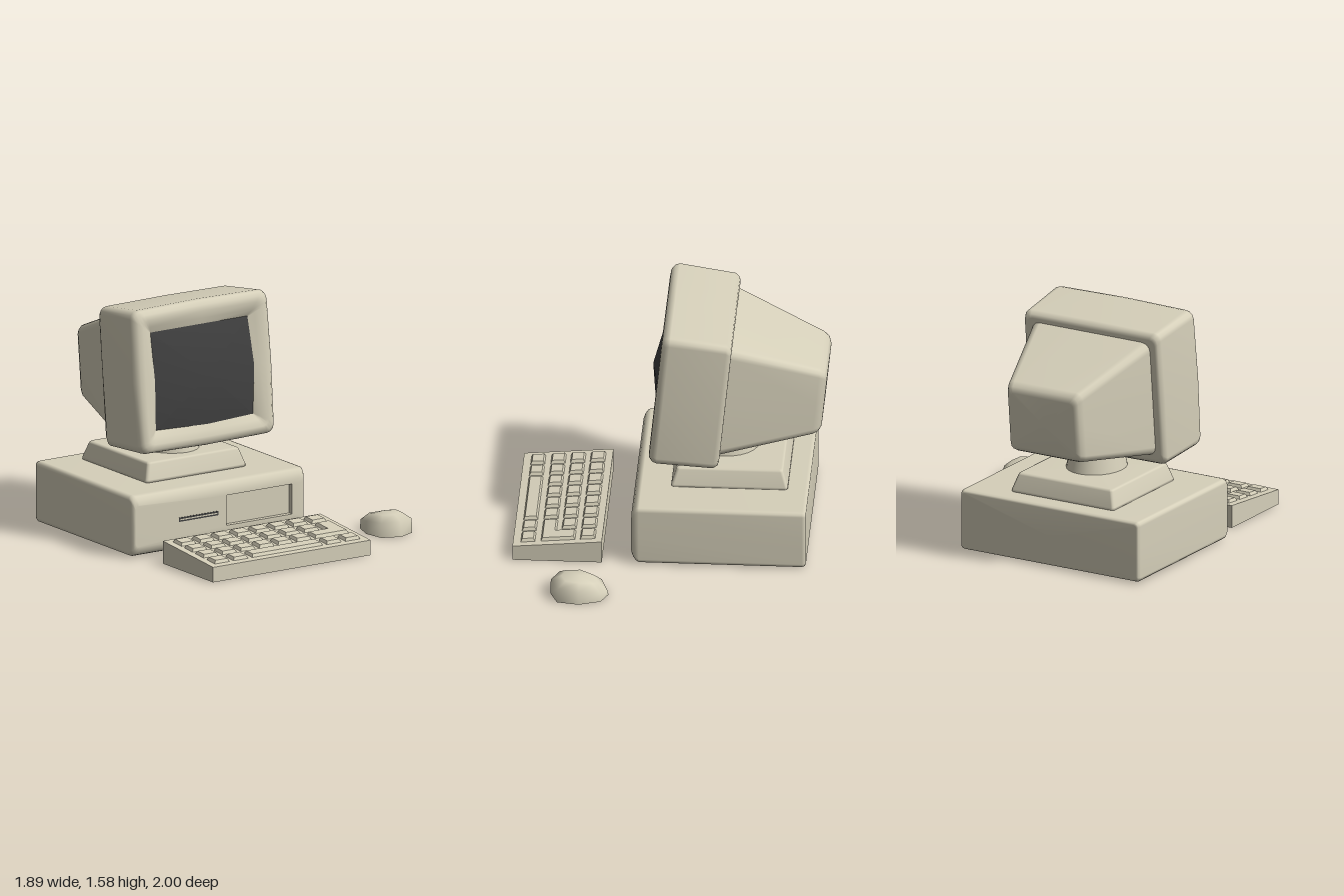
import * as THREE from 'three';

const beige = new THREE.MeshStandardMaterial({ color: 0xd6d0ba });
beige.name = 'beige plastic';
beige.side = THREE.DoubleSide;
const dark = new THREE.MeshStandardMaterial({ color: 0x404040 });
dark.name = 'dark glass';

// Rounded rectangle ring in the xy plane, counter-clockwise, with a middle point
// on each side that may bow outwards (bow) and forwards (lift).
function ring(w, h, r, z, cx = 0, cy = 0, bow = 0, lift = 0) {
  const pts = [];
  for (let q = 0; q < 4; q++) {
    const a0 = q * Math.PI / 2;
    const dx = Math.round(Math.cos(a0)), dy = Math.round(Math.sin(a0));
    pts.push([cx + dx * (w / 2 + bow), cy + dy * (h / 2 + bow), z + lift]);
    const sx = q === 0 || q === 3 ? 1 : -1, sy = q < 2 ? 1 : -1;
    const steps = r > 0 ? 3 : 0;
    for (let i = 0; i <= steps; i++) {
      const a = a0 + (steps ? i / steps : 0) * Math.PI / 2;
      pts.push([
        cx + sx * (w / 2 - r) + r * Math.cos(a),
        cy + sy * (h / 2 - r) + r * Math.sin(a), z]);
    }
  }
  return pts;
}

// Skin over rings; start and end are optional heights for the cap centres.
// Repeating a ring leaves a sharp edge there.
function loft(rings, start, end) {
  const n = rings[0].length, pos = rings.flat(2), idx = [];
  for (let i = 0; i < rings.length - 1; i++) {
    for (let j = 0; j < n; j++) {
      const a = i * n + j, b = i * n + (j + 1) % n;
      idx.push(a, b, b + n, a, b + n, a + n);
    }
  }
  const cap = (first, z, flip) => {
    const r = rings[first], c = pos.length / 3;
    const mean = k => r.reduce((s, p) => s + p[k], 0) / n;
    pos.push(mean(0), mean(1), z);
    for (let j = 0; j < n; j++) {
      const a = first * n + j, b = first * n + (j + 1) % n;
      if (flip) idx.push(c, b, a); else idx.push(c, a, b);
    }
  };
  if (start !== undefined) cap(0, start, true);
  if (end !== undefined) cap(rings.length - 1, end, false);
  const g = new THREE.BufferGeometry();
  g.setAttribute('position', new THREE.Float32BufferAttribute(pos, 3));
  g.setIndex(idx);
  g.computeVertexNormals();
  return g;
}

const upright = g => g.rotateX(-Math.PI / 2); // ring (x, y) becomes (x, -z)

function add(parent, name, geometry, material) {
  const m = new THREE.Mesh(geometry, material);
  m.name = name;
  parent.add(m);
  return m;
}

function computerCase() {
  const g = new THREE.Group();
  g.name = 'computerCase';
  const cx = -0.275, cy = 0.2125;
  const bay = z => ring(0.51, 0.2, 0, z, 0.035, 0.22);
  // ring() without rounding has fewer points, so the bay uses a tiny radius
  const bayR = z => ring(0.51, 0.2, 0.004, z, 0.035, 0.22);
  const front = ring(1.3, 0.28, 0.03, 0.235, cx, cy);
  add(g, 'caseBody', loft([
    ring(1.31, 0.365, 0.02, -0.89, cx, cy),
    ring(1.335, 0.39, 0.025, -0.884, cx, cy),
    ring(1.35, 0.405, 0.03, -0.865, cx, cy),
    ring(1.35, 0.405, 0.03, 0.185, cx, cy),
    ring(1.34, 0.385, 0.035, 0.207, cx, cy),
    ring(1.325, 0.34, 0.035, 0.223, cx, cy),
    front, bayR(0.235), bayR(0.235), bayR(0.2), bayR(0.2),
  ], -0.89, 0.2), beige);
  // disk slot
  const slot = add(g, 'diskSlot', new THREE.BoxGeometry(0.305, 0.028, 0.008), dark);
  slot.position.set(-0.438, 0.212, 0.234);
  const lip = add(g, 'diskSlotFlap', new THREE.BoxGeometry(0.285, 0.008, 0.008), beige);
  lip.position.set(-0.438, 0.212, 0.2355);
  return g;
}

function stand() {
  const g = new THREE.Group();
  g.name = 'monitorStand';
  const cx = -0.29, cy = 0.38;
  add(g, 'standBase', upright(loft([
    ring(0.775, 0.75, 0.02, 0.41, cx, cy),
    ring(0.775, 0.75, 0.02, 0.432, cx, cy),
    ring(0.715, 0.69, 0.02, 0.525, cx, cy),
    ring(0.705, 0.68, 0.02, 0.535, cx, cy),
    ring(0.68, 0.655, 0.02, 0.541, cx, cy),
  ], 0.41, 0.541)), beige);
  const neck = add(g, 'standNeck', new THREE.CylinderGeometry(0.178, 0.22, 0.19, 24), beige);
  neck.scale.x = 0.87;
  neck.position.set(cx, 0.63, -0.33);
  return g;
}

function monitor() {
  const g = new THREE.Group();
  g.name = 'monitor';
  g.position.set(-0.285, 1.1, 0.09);
  g.rotation.x = -0.1;
  const glassEdge = ring(0.755, 0.64, 0.004, -0.045, 0, 0.005, 0.008, 0.035);
  // front shell with its bezel sloping in to the screen
  add(g, 'monitorShell', loft([
    ring(0.96, 0.83, 0.04, -0.45, 0, 0.01),
    ring(1.0, 0.88, 0.05, -0.443, 0, 0.01),
    ring(1.025, 0.915, 0.05, -0.415, 0, 0.01, 0.005),
    ring(1.05, 0.94, 0.055, -0.05, 0, 0.014, 0.008),
    ring(1.035, 0.925, 0.055, -0.022, 0, 0.013, 0.008),
    ring(0.99, 0.88, 0.05, 0, 0, 0.01, 0.005),
    ring(0.92, 0.81, 0.04, 0.004, 0, 0.008, 0.005),
    ring(0.83, 0.72, 0.02, -0.018, 0, 0.006, 0.005, 0.015),
    glassEdge,
  ], -0.45), beige);
  add(g, 'screen', loft([glassEdge], undefined, 0.045), dark);
  // tapering tube housing
  add(g, 'tubeHousing', loft([
    ring(0.47, 0.37, 0.03, -1.078),
    ring(0.53, 0.44, 0.04, -1.06, 0, 0.002),
    ring(0.565, 0.485, 0.05, -1.025, 0, 0.004),
    ring(0.9, 0.795, 0.06, -0.43, 0, 0.01),
  ], -1.078), beige);
  return g;
}

function keyboard() {
  const g = new THREE.Group();
  g.name = 'keyboard';
  // everything above the base rises towards the back
  const slope = geo => {
    const p = geo.attributes.position;
    for (let i = 0; i < p.count; i++) {
      if (p.getY(i) > 0.05) p.setY(i, p.getY(i) + 0.088 * (1 - p.getZ(i)));
    }
    const flat = geo.index ? geo.toNonIndexed() : geo;
    flat.computeVertexNormals();
    return flat;
  };
  const outline = z => ring(1.225, 0.575, 0, z, -0.2325, -0.7125);
  add(g, 'keyboardWalls', slope(upright(loft([outline(0), outline(0.1)]))), beige);

  // keys as [left, right, back, front]
  const rows = [[0.47, 0.567], [0.6, 0.694], [0.726, 0.82], [0.858, 0.95]];
  const columns = [[0, 1, 2, 3, 4, 5, 6, 7], [0, 1, 2, 3, 4, 5, 6], [0, 1, 2, 3, 4, 5], [0, 1, 6, 7]];
  const left = c => -0.797 + 0.145 * c, width = 0.113;
  const keys = [];
  rows.forEach(([b, f], i) => columns[i].forEach(c => keys.push([left(c), left(c) + width, b, f])));
  keys.push([left(2), left(5) + width, rows[3][0], rows[3][1]]);
  const enter = [
    [left(7), left(7) + width, rows[1][0], rows[2][1]],
    [left(6), left(7) + width, rows[2][0], rows[2][1]],
  ];

  // top plate, open beneath each hollow key
  const path = (C, pts) => new C(pts.map(([x, z]) => new THREE.Vector2(x, -z)));
  const plate = path(THREE.Shape, [[-0.845, 1], [0.38, 1], [0.38, 0.425], [-0.845, 0.425]]);
  for (const [l, r, b, f] of keys) plate.holes.push(path(THREE.Path, [[l, b], [r, b], [r, f], [l, f]]));
  const [e, w] = enter;
  plate.holes.push(path(THREE.Path,
    [[e[0], e[2]], [e[1], e[2]], [e[1], e[3]], [w[0], w[3]], [w[0], w[2]], [e[0], w[2]]]));
  add(g, 'keyboardTop', slope(upright(new THREE.ShapeGeometry(plate)).translate(0, 0.1, 0)), beige);

  for (const [l, r, b, f] of [...keys, ...enter]) {
    const at = (inset, y) => ring(r - l - inset, f - b - inset, 0, y, (l + r) / 2, -(b + f) / 2);
    add(g, 'key', slope(upright(loft([at(0, 0.1), at(0.02, 0.12)], undefined, 0.12))), beige);
  }
  return g;
}

function mouse() {
  // half outline from nose to tail: x, z, side height, crown height
  const half = [
    [0, -0.185, 0.025, 0.085], [0.095, -0.14, 0.06, 0.11], [0.143, 0, 0.085, 0.128],
    [0.12, 0.14, 0.095, 0.132], [0, 0.19, 0.1, 0.132]];
  const loop = [...half, ...half.slice(1, 4).reverse().map(([x, ...rest]) => [-x, ...rest])];
  loop.reverse();
  const level = (k, y) => loop.map(p => [p[0] * k, -p[1] * k, y(p)]).reverse();
  const rings = [level(1, () => 0), level(0.98, p => p[2]), level(0.62, p => p[3])];
  // keep the rings counter-clockwise
  rings.forEach(r => r.reverse());
  const m = new THREE.Mesh(upright(loft(rings, undefined, 0.136)), beige);
  m.name = 'mouse';
  m.position.set(0.8, 0, 0.54);
  return m;
}

export function createModel() {
  const model = new THREE.Group();
  model.name = 'desktopComputer';
  model.add(computerCase(), stand(), monitor(), keyboard(), mouse());
  return model;
}
